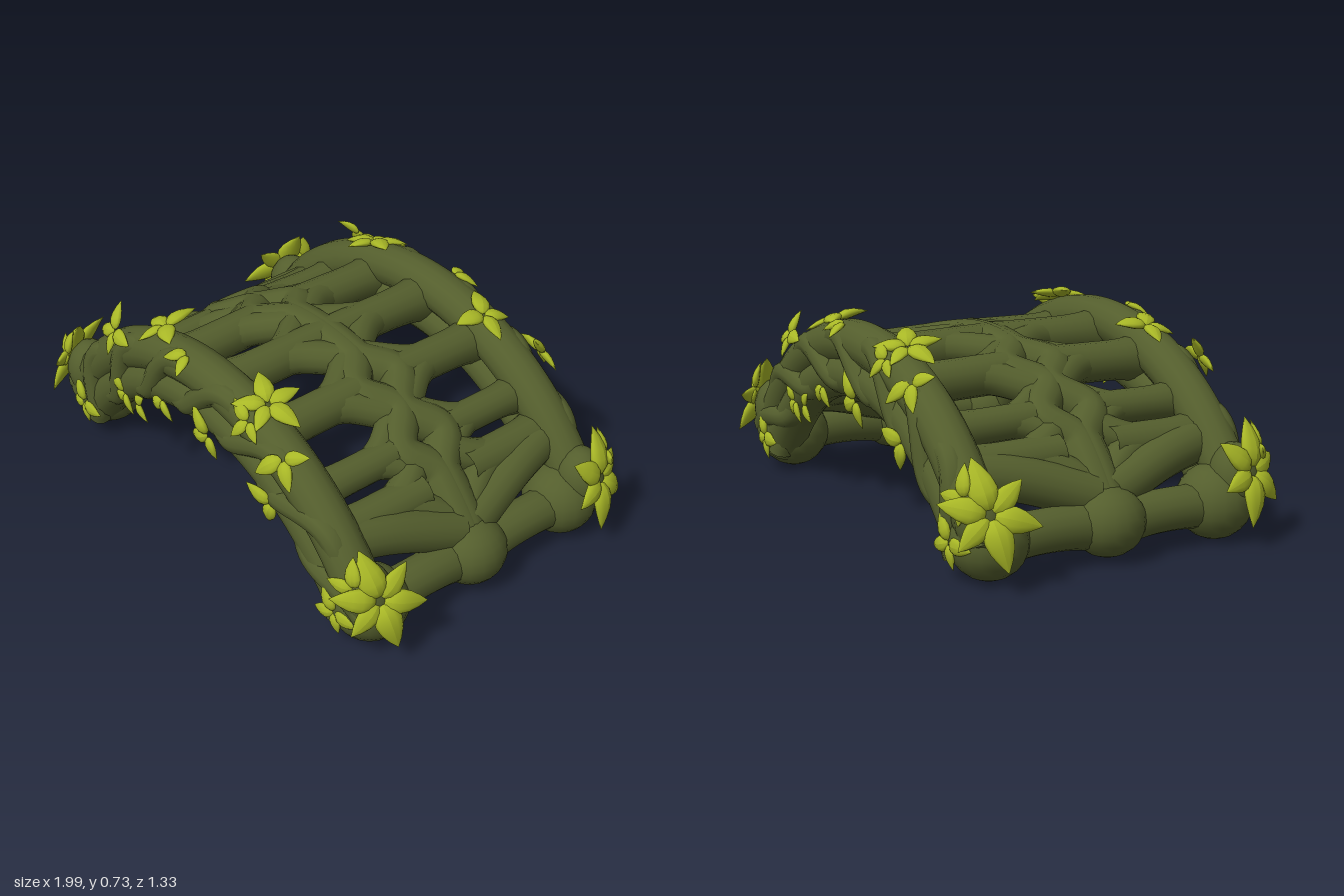
import * as THREE from 'three';

const V = (x, y, z) => new THREE.Vector3(x, y, z);
// Point on the arch: angle from the crown, radius, depth
const arch = (a, r, z) => V(r * Math.sin(a), r * Math.cos(a) - 0.36, z);

export function createModel() {
  const model = new THREE.Group();
  model.name = 'vineBridge';
  const vineMat = new THREE.MeshStandardMaterial({ color: 0x545e2d });
  vineMat.name = 'mossy vine';
  const leafMat = new THREE.MeshStandardMaterial({ color: 0xa8b726 });
  leafMat.name = 'bright leaf';

  // Tube through points whose radius follows a function of its length
  function vine(name, points, radius, n = 16, sides = 14) {
    const curve = new THREE.CatmullRomCurve3(points);
    const geo = new THREE.TubeGeometry(curve, n, 1, sides);
    const pos = geo.attributes.position;
    const p = V(0, 0, 0);
    for (let i = 0; i < pos.count; i++) {
      const t = Math.floor(i / (sides + 1)) / n;
      const c = curve.getPointAt(t);
      p.fromBufferAttribute(pos, i).sub(c).multiplyScalar(radius(t)).add(c);
      pos.setXYZ(i, p.x, p.y, p.z);
    }
    const mesh = new THREE.Mesh(geo, vineMat);
    mesh.name = name;
    model.add(mesh);
  }

  // Path along the whole arch, with radius and depth as functions of angle
  function archPath(end, r, z, n = 48) {
    return Array.from({ length: n + 1 }, (_, i) => {
      const a = (i / n * 2 - 1) * end;
      return arch(a, r(a), z(a));
    });
  }

  function knob(name, x, y, z, sx, sy, sz) {
    const mesh = new THREE.Mesh(new THREE.SphereGeometry(1, 18, 12), vineMat);
    mesh.name = name;
    mesh.position.set(x, y, z);
    mesh.scale.set(sx, sy, sz);
    model.add(mesh);
  }

  for (const s of [1, -1]) {
    // Side rails and the two strands woven over them
    vine('upperRail', archPath(1.05, a => 1.0 - 0.01 * a ** 4, () => 0.498 * s), () => 0.082, 60);
    vine('lowerRail', archPath(1.05, a => 0.88 + 0.02 * a ** 4, () => 0.498 * s), () => 0.082, 60);
    for (const k of [1, -1]) {
      vine('wovenStrand', archPath(1.04, a => 0.942 + 0.085 * k * Math.sin(a * 10.5),
        a => s * (0.535 + 0.012 * k * Math.cos(a * 10.5))), () => 0.046, 96, 10);
    }

    // Central spine strand, parting around small gaps
    const part = a => {
      const wave = Math.cos(2 * Math.PI * (Math.abs(a) - 0.305) / 0.28);
      return s * (Math.abs(a) > 0.725 || Math.abs(a) < 0.165 ? 0.01 : 0.052 + 0.042 * wave);
    };
    vine('spineStrand', archPath(1.05, () => 0.962, part, 96), () => 0.072, 120, 12);

    // Cross ribs from rail to spine; all but the crown rib fork at the spine
    for (const a of [-0.75, -0.58, -0.305, 0, 0.305, 0.58, 0.75]) {
      const slim = Math.abs(a) === 0.58 ? 0.012 : 0;
      vine('crossRib', [arch(a, 0.95, 0.5 * s), arch(a, 0.955, 0.3 * s), arch(a, 0.96, (a ? 0.1 : -0.02) * s)],
        t => 0.074 - slim + 0.035 * Math.max(0, 1 - 2 * t) ** 3);
      for (const k of [1, -1]) {
        vine('ribFork', [arch(a, 0.957, 0.24 * s), arch(a + 0.04 * k, 0.96, 0.15 * s),
          arch(a + 0.13 * k, 0.96, 0.04 * s)], () => 0.062 - slim, 10, 12);
      }
    }

    // End braces, webs, cross bars and feet
    for (const e of [1, -1]) {
      vine('endBrace', [arch(0.77 * e, 0.96, 0.48 * s), arch(0.82 * e, 0.965, 0.3 * s),
        arch(0.93 * e, 0.96, 0.03 * s)], () => 0.08);
      vine('endWeb', [arch(0.78 * e, 0.95, 0.32 * s), arch(0.85 * e, 0.95, 0.16 * s),
        arch(0.86 * e, 0.95, 0.02 * s)], () => 0.06);
      vine('endBar', [arch(1.03 * e, 0.94, 0.5 * s), arch(1.02 * e, 0.95, 0.25 * s),
        arch(1.03 * e, 0.94, -0.02 * s)], t => 0.076 + 0.035 * Math.abs(2 * t - 1) ** 3);
      knob('cornerFoot', 0.8 * e, 0.138, 0.45 * s, 0.138, 0.136, 0.138);
      knob('cornerShoulder', 0.84 * e, 0.23, 0.5 * s, 0.1, 0.12, 0.09);
    }
  }
  for (const e of [1, -1]) {
    knob('middleFoot', 0.815 * e, 0.135, 0, 0.125, 0.122, 0.135);
  }

  // Broad pointed leaf growing along +y, drooping at the tip
  const outline = [[0, 0.08], [0.17, 0.16], [0.27, 0.32], [0.3, 0.5], [0.25, 0.7], [0.14, 0.9], [0, 1.08]];
  const leafGeo = new THREE.LatheGeometry(outline.map(([x, y]) => new THREE.Vector2(x, y)), 12);
  const lp = leafGeo.attributes.position;
  for (let i = 0; i < lp.count; i++) {
    lp.setZ(i, lp.getZ(i) * 0.55 - 0.42 * lp.getY(i) ** 2);
  }
  leafGeo.computeVertexNormals();

  // Rosette of leaves facing along a normal; short ones form a fan
  function cluster(parent, [x, y, z], normal, size, count, spin) {
    const g = new THREE.Group();
    g.name = 'leafCluster';
    g.position.set(x, y, z);
    g.quaternion.setFromUnitVectors(V(0, 0, 1), V(...normal).normalize());
    for (let i = 0; i < count; i++) {
      const leaf = new THREE.Mesh(leafGeo, leafMat);
      leaf.name = 'leaf';
      leaf.rotation.order = 'ZXY';
      leaf.rotation.set(0.42, 0, spin + i * Math.PI * 2 / Math.max(count, 4.5));
      leaf.scale.setScalar(size * (1 - 0.1 * (i % 3)));
      g.add(leaf);
    }
    parent.add(g);
  }

  // The two sides carry the same foliage, turned half a circle
  for (const turn of [0, Math.PI]) {
    const side = new THREE.Group();
    side.name = turn ? 'backFoliage' : 'frontFoliage';
    side.rotation.y = turn;
    for (const e of [1, -1]) {
      cluster(side, [0.915 * e, 0.26, 0.51], [0.85 * e, 0.3, 0.3], 0.165, 6, 0.5 * e);
      cluster(side, [0.77 * e, 0.14, 0.575], [0.1 * e, 0, 1], 0.1, 4, 0.5);
      cluster(side, [0.87 * e, 0.31, 0.575], [0.4 * e, 0.2, 1], 0.1, 3, 0.2 * e);
    }
    // Rosettes on top of the rail
    cluster(side, [-0.33, 0.668, 0.47], [-0.3, 1, 0.2], 0.12, 4, 0.3);
    cluster(side, [0.29, 0.68, 0.48], [0.3, 1, 0.25], 0.12, 5, 0.9);
    cluster(side, [-0.09, 0.705, 0.54], [-0.1, 1, 0.5], 0.09, 2, 2.2);
    // Sprigs on the outer face
    const sprigs = [
      [-0.53, 0.585, 0.1, 4, 0.5], [0.48, 0.605, 0.11, 3, 2.4], [0.29, 0.65, 0.09, 3, 1.2],
      [-0.23, 0.455, 0.09, 2, 2.4], [-0.48, 0.345, 0.1, 3, 0.9], [-0.4, 0.35, 0.08, 2, 4.0],
      [0.06, 0.46, 0.11, 3, 0.6], [0.43, 0.395, 0.11, 2, 1.4],
    ];
    for (const [x, y, size, count, spin] of sprigs) {
      const high = y > 0.53;
      cluster(side, [x, y, high ? 0.56 : 0.57], [x * 0.4, high ? 0.6 : -0.1, 1], size, count, spin);
    }
    model.add(side);
  }
  return model;
}
